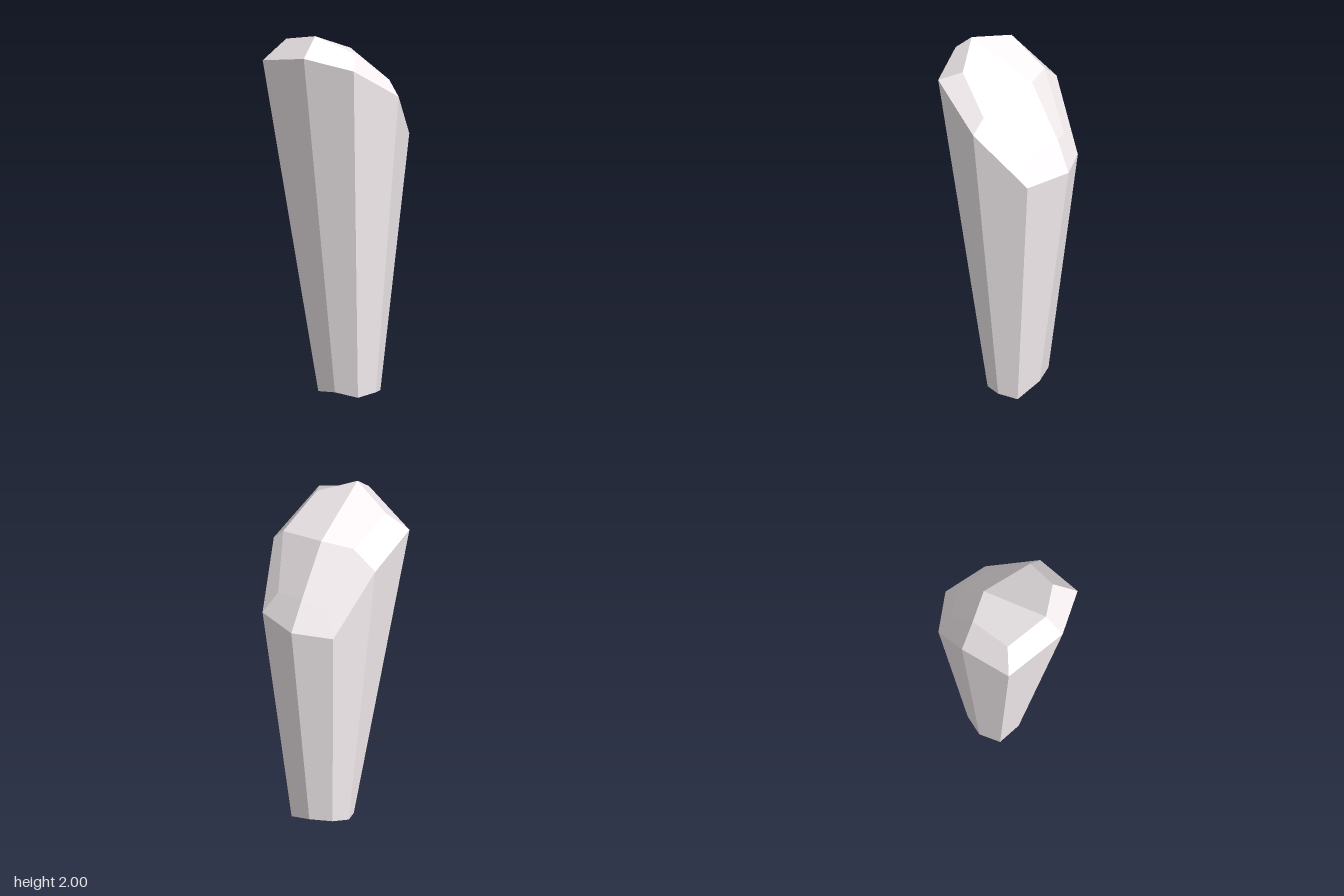
import * as THREE from 'three';

// Cross-sections of the shard, each running front -> left -> back -> right
const foot = [
  [0, 0.03, 0.085], [0.125, 0.012, 0.055], [0.168, 0.025, -0.05], [0.13, 0.01, -0.15],
  [-0.008, 0.07, -0.187], [-0.13, 0.085, -0.15], [-0.165, 0.05, -0.05], [-0.125, 0.012, 0.055],
];
const rim = [
  [-0.005, 1.9, 0.372], [0.252, 1.85, 0.285], [0.335, 1.66, -0.015], [0.22, 1.385, -0.288],
  [-0.02, 1.4, -0.372], [-0.22, 1.385, -0.275], [-0.33, 1.73, -0.045], [-0.337, 1.82, 0.262],
];
const crown = [
  [-0.005, 2, 0.265], [0.19, 1.91, 0.17], [0.265, 1.74, -0.03], [0.15, 1.52, -0.245],
  [-0.03, 1.57, -0.29], [-0.15, 1.53, -0.24], [-0.205, 1.84, -0.065], [-0.24, 1.935, 0.185],
];
const tip = [0, 0, -0.05];
const peak = [-0.035, 1.85, -0.115];

// Four-cornered facets between two rings
const band = (lower, upper) => lower.map((a, i) => {
  const j = (i + 1) % lower.length;
  return [a, lower[j], upper[j], upper[i]];
});

// Four-cornered facets closing a ring, each spanning two of its sides
const cap = (ring, point) => [0, 2, 4, 6].map((i) => [ring[i], ring[i + 1], ring[(i + 2) % 8], point]);

// Facets with one shared normal each, so every one shades as a single plane
function facetGeometry(facets) {
  const positions = [];
  const normals = [];
  for (const facet of facets) {
    const [a, b, c, d] = facet.map((p) => new THREE.Vector3(...p));
    const normal = c.clone().sub(a).cross(d.clone().sub(b)).normalize();
    for (const p of [a, b, c, a, c, d]) {
      positions.push(...p.toArray());
      normals.push(...normal.toArray());
    }
  }
  const geometry = new THREE.BufferGeometry();
  geometry.setAttribute('position', new THREE.Float32BufferAttribute(positions, 3));
  geometry.setAttribute('normal', new THREE.Float32BufferAttribute(normals, 3));
  return geometry;
}

export function createModel() {
  const group = new THREE.Group();
  group.name = 'crystalShard';
  const material = new THREE.MeshStandardMaterial({ color: 0xfbf4f6 });

  const add = (name, facets) => {
    const mesh = new THREE.Mesh(facetGeometry(facets), material);
    mesh.name = name;
    group.add(mesh);
  };

  add('base', cap(foot, tip).map((facet) => facet.reverse()));
  add('shaft', band(foot, rim));
  add('bevel', band(rim, crown));
  add('slantedTop', cap(crown, peak));
  return group;
}
